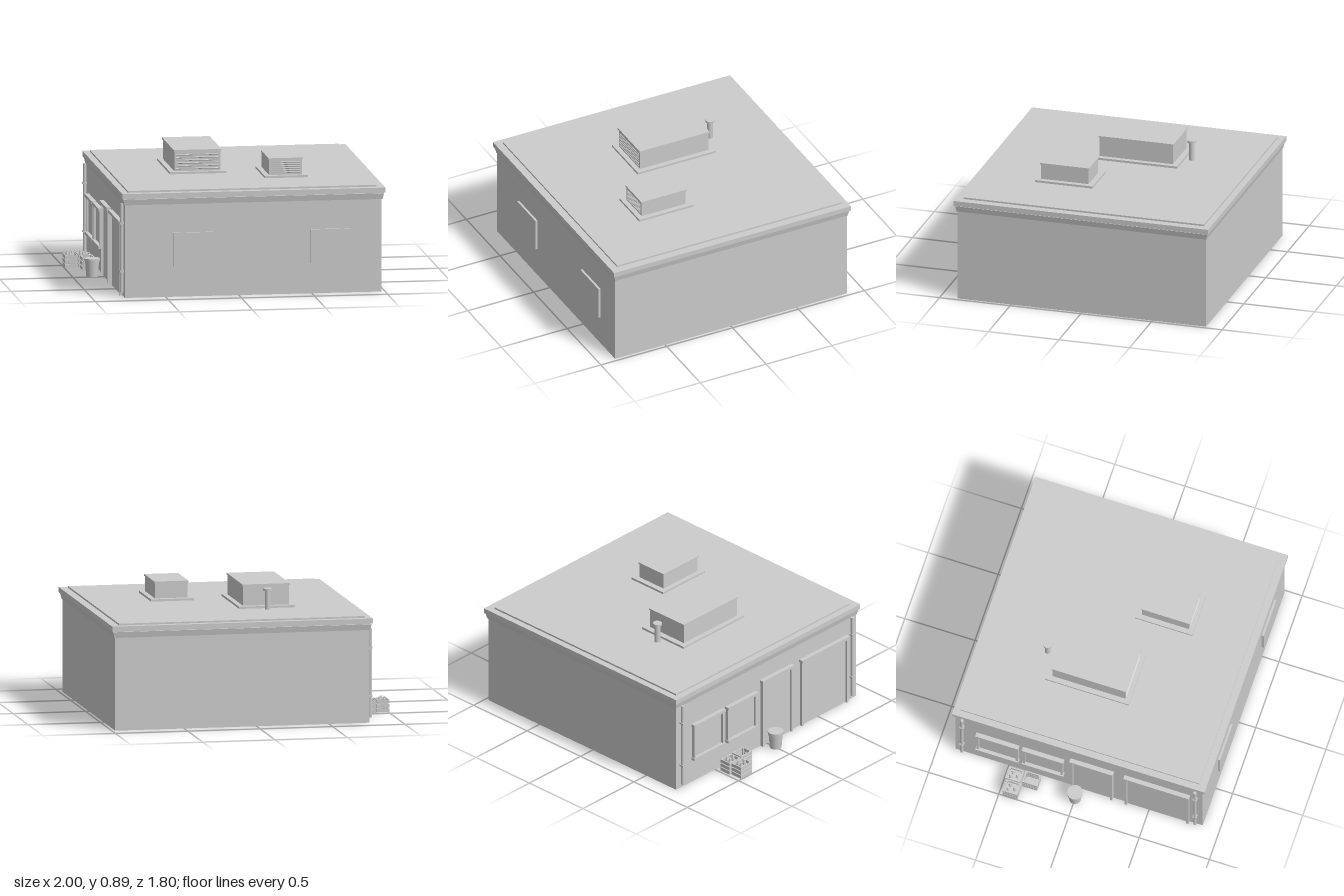
import * as THREE from 'three';

const grey = new THREE.MeshStandardMaterial({ color: 0xcccccc });
grey.name = 'plain grey';

export function createModel() {
  const model = new THREE.Group();
  model.name = 'flatRoofShop';

  const add = (name, geometry, parent = model) => {
    const mesh = new THREE.Mesh(geometry, grey);
    mesh.name = name;
    parent.add(mesh);
    return mesh;
  };
  const group = (name) => {
    const g = new THREE.Group();
    g.name = name;
    model.add(g);
    return g;
  };
  // Box given by its limits on each axis
  const box = (name, x0, x1, y0, y1, z0, z1, parent) => {
    const m = add(name, new THREE.BoxGeometry(x1 - x0, y1 - y0, z1 - z0), parent);
    m.position.set((x0 + x1) / 2, (y0 + y1) / 2, (z0 + z1) / 2);
    return m;
  };
  const tube = (name, x, z, y0, y1, rBottom, rTop, sides, parent) => {
    const g = new THREE.CylinderGeometry(rTop, rBottom, y1 - y0, sides);
    const m = add(name, g, parent);
    m.position.set(x, (y0 + y1) / 2, z);
    return m;
  };

  // Walls and roof edge
  box('walls', -0.78, 0.977, 0, 0.68, -0.88, 0.88);
  const band = box('corniceBand', -0.792, 0.992, 0.635, 0.675, -0.892, 0.892);
  const p = band.geometry.attributes.position;
  for (let i = 0; i < p.count; i++) {
    if (p.getY(i) < 0) p.setXYZ(i, p.getX(i) * 0.99, p.getY(i), p.getZ(i) * 0.99);
  }
  band.geometry.computeVertexNormals();
  box('corniceSlab', -0.8, 1, 0.68, 0.715, -0.9, 0.9);
  box('roofPanel', -0.755, 0.945, 0.715, 0.727, -0.855, 0.848);

  // Front panels
  for (const x of [-0.45, 0.49]) box('frontPanel', x, x + 0.272, 0.21, 0.44, 0.88, 0.895);

  // Rooftop ventilation units with louvres at the front
  const roofUnit = (x0, x1, z0, z1, top) => {
    const g = group('roofUnit');
    box('unitBase', x0 - 0.035, x1 + 0.035, 0.727, 0.742, z0 - 0.04, z1 + 0.035, g);
    box('unitBody', x0, x1, 0.742, top - 0.012, z0, z1, g);
    box('unitCap', x0 - 0.005, x1 + 0.005, top - 0.012, top, z0 - 0.006, z1 + 0.006, g);
    const count = 6, step = (top - 0.775) / count;
    for (let i = 0; i < count; i++) {
      const y = 0.757 + i * step;
      const slat = box('louvre', x0 + 0.015, x1 - 0.015, y, y + 0.005, z1 - 0.005, z1 + 0.005, g);
      slat.rotation.x = 0.5;
    }
  };
  roofUnit(-0.335, -0.018, -0.338, 0.182, 0.888);
  roofUnit(0.275, 0.5, 0.1, 0.434, 0.858);

  // Vent pipe
  tube('ventPipe', -0.17, -0.425, 0.727, 0.86, 0.02, 0.02, 12);
  tube('ventCap', -0.17, -0.425, 0.855, 0.87, 0.031, 0.031, 12);

  // Framed openings along the shop side
  const opening = (name, z0, z1, y0, y1, sill) => {
    const g = group(name);
    const w = 0.016;
    box('pane', -0.787, -0.778, y0, y1, z0, z1, g);
    for (const z of [z0, z1 - w]) box('jamb', -0.802, -0.778, y0, y1, z, z + w, g);
    box('header', -0.811, -0.778, y1 - 0.02, y1, z0 - 0.006, z1 + 0.006, g);
    if (sill) box('sill', -0.811, -0.778, y0 - 0.008, y0 + 0.012, z0 - 0.006, z1 + 0.006, g);
  };
  opening('sideWindow', -0.725, -0.43, 0.18, 0.45, true);
  opening('sideWindow', -0.395, -0.11, 0.18, 0.45, true);
  opening('door', -0.055, 0.243, 0, 0.515, false);
  opening('wideDoor', 0.33, 0.785, 0, 0.515, false);

  // Drainpipes at both ends with brackets
  for (const z of [-0.83, 0.83]) {
    tube('drainpipe', -0.795, z, 0.03, 0.64, 0.012, 0.012, 8);
    for (const y of [0.17, 0.5]) box('pipeBracket', -0.809, -0.778, y, y + 0.012, z - 0.015, z + 0.015);
  }

  // Slatted crates, two of them holding bottles
  const crate = (x0, x1, z0, z1, bottles) => {
    const g = group('crate');
    const t = 0.008;
    box('crateFloor', x0 + t, x1 - t, 0.004, 0.012, z0 + t, z1 - t, g);
    for (const y of [0.004, 0.035, 0.066]) {
      for (const x of [x0, x1 - t]) box('slat', x, x + t, y, y + 0.025, z0, z1, g);
      for (const z of [z0, z1 - t]) box('slat', x0 + t, x1 - t, y, y + 0.025, z, z + t, g);
    }
    for (const x of [x0 + t, x1 - 2 * t]) {
      for (const z of [z0 + t, z1 - 2 * t]) box('cornerPost', x, x + t, 0, 0.09, z, z + t, g);
    }
    if (!bottles) return;
    box('crateInsert', x0 + t, x1 - t, 0.05, 0.07, z0 + t, z1 - t, g);
    for (const [u, v] of [[0.3, 0.3], [0.68, 0.35], [0.45, 0.7]]) {
      const x = x0 + u * (x1 - x0), z = z0 + v * (z1 - z0);
      tube('bottle', x, z, 0.012, 0.085, 0.012, 0.012, 8, g);
      tube('bottleNeck', x, z, 0.085, 0.108, 0.011, 0.006, 8, g);
    }
  };
  crate(-1, -0.912, -0.475, -0.368, true);
  crate(-0.906, -0.818, -0.487, -0.38, true);
  crate(-0.897, -0.812, -0.368, -0.26, false);

  // Waste bin
  const bin = group('wasteBin');
  tube('binBody', -0.87, 0, 0.005, 0.115, 0.04, 0.049, 16, bin);
  tube('binLid', -0.87, 0, 0.11, 0.13, 0.053, 0.054, 16, bin);

  return model;
}
